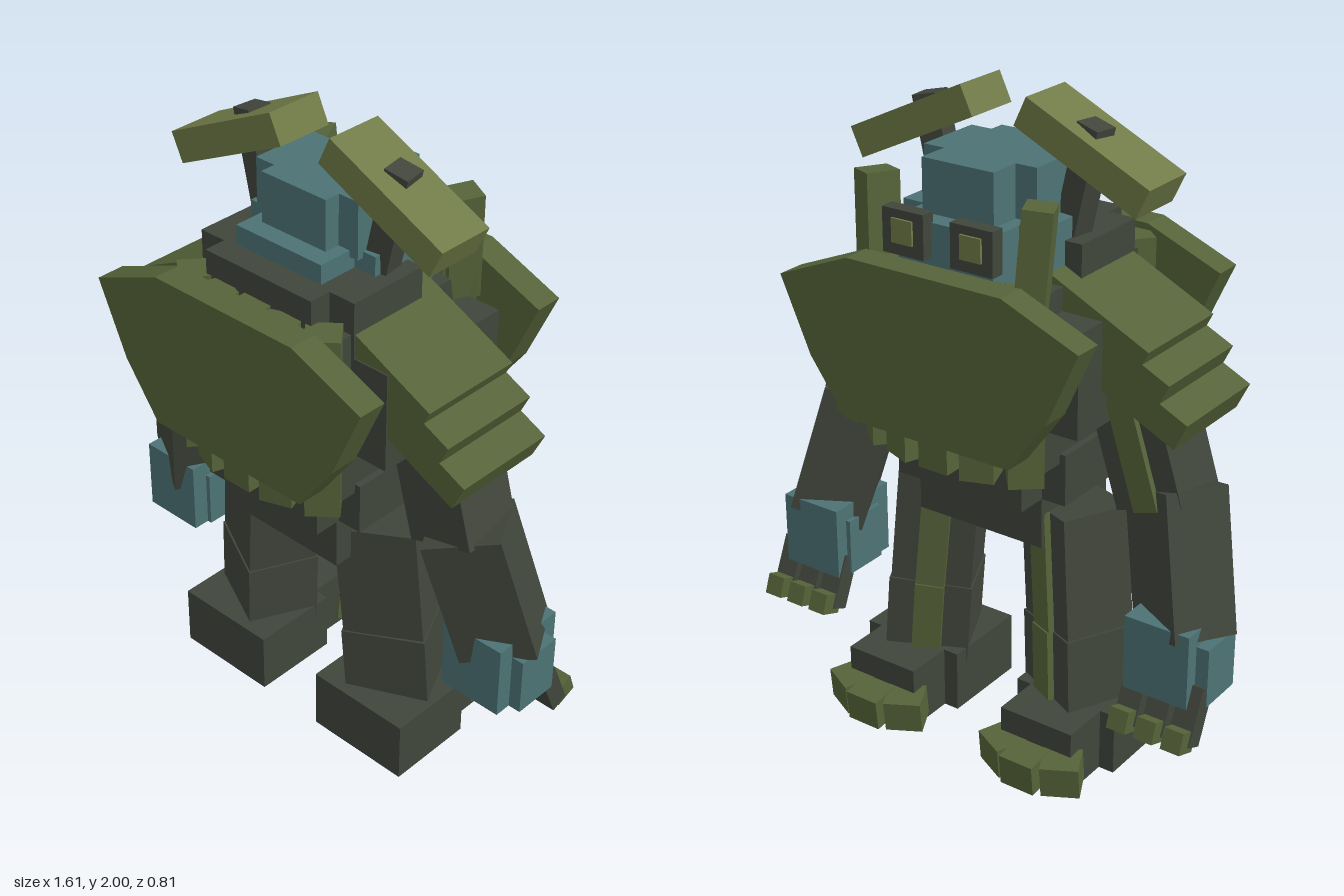
import * as THREE from 'three';

const mat = (name, color) => {
  const m = new THREE.MeshStandardMaterial({ color });
  m.name = name;
  return m;
};

export function createModel() {
  const root = new THREE.Group();
  root.name = 'blockGolem';
  const dark = mat('darkStone', 0x41463c);
  const moss = mat('mossArmor', 0x566339);
  const olive = mat('oliveHorn', 0x717b48);
  const teal = mat('tealSkin', 0x4d7375);

  const add = (name, geometry, material) => {
    const m = new THREE.Mesh(geometry, material);
    m.name = name;
    root.add(m);
    return m;
  };
  // Box given by its min and max on each axis
  const span = (name, material, [x0, x1], [y0, y1], [z0, z1]) => {
    const m = add(name, new THREE.BoxGeometry(Math.abs(x1 - x0), y1 - y0, z1 - z0), material);
    m.position.set((x0 + x1) / 2, (y0 + y1) / 2, (z0 + z1) / 2);
    return m;
  };
  // Box given by size, centre and rotation
  const box = (name, material, size, pos, rot = [0, 0, 0]) => {
    const m = add(name, new THREE.BoxGeometry(...size), material);
    m.position.set(...pos);
    m.rotation.set(...rot);
    return m;
  };
  // Square bar running from a to b, turned by yaw around its own length
  const bar = (name, material, a, b, w, d, yaw = 0, offset = [0, 0]) => {
    const A = new THREE.Vector3(...a), B = new THREE.Vector3(...b);
    const dir = B.clone().sub(A);
    const geo = new THREE.BoxGeometry(w, dir.length(), d).translate(offset[0], 0, offset[1]);
    const m = add(name, geo, material);
    m.position.copy(A).add(B).multiplyScalar(0.5);
    const up = dir.normalize().negate();
    m.quaternion.setFromUnitVectors(new THREE.Vector3(0, 1, 0), up)
      .multiply(new THREE.Quaternion().setFromAxisAngle(new THREE.Vector3(0, 1, 0), yaw));
    return m;
  };

  // Torso
  span('chest', dark, [-0.41, 0.41], [1.14, 1.45], [-0.26, 0.2]);
  span('torsoCore', dark, [-0.28, 0.28], [0.99, 1.52], [-0.25, 0.25]);
  span('collar', dark, [-0.29, 0.29], [1.45, 1.62], [-0.07, 0.2]);
  span('collarNape', dark, [-0.2, 0.2], [1.45, 1.62], [0, 0.27]);
  span('waistWide', dark, [-0.3, 0.3], [0.86, 1.02], [-0.15, 0.18]);
  span('waistDeep', dark, [-0.22, 0.22], [0.86, 1.02], [-0.25, 0.27]);
  span('pelvis', dark, [-0.22, 0.22], [0.7, 0.88], [-0.15, 0.19]);

  // Head
  span('headBaseLong', teal, [-0.16, 0.16], [1.45, 1.68], [-0.3, 0.19]);
  span('headBaseWide', teal, [-0.235, 0.235], [1.5, 1.68], [-0.18, 0.06]);
  span('crownLong', teal, [-0.12, 0.12], [1.66, 1.835], [-0.24, 0.13]);
  span('crownWide', teal, [-0.19, 0.19], [1.66, 1.835], [-0.14, 0.08]);

  // Chest and back armour with ribs behind
  const outline = [[0.26, 1.565], [0.505, 1.465], [0.405, 1.24], [0.285, 1.075]];
  const points = [...outline, ...outline.slice().reverse().map(([x, y]) => [-x, y])];
  const plate = new THREE.ExtrudeGeometry(
    new THREE.Shape(points.map(p => new THREE.Vector2(...p))), { depth: 0.09, bevelEnabled: false });
  for (const f of [1, -1]) {
    add(f > 0 ? 'backPlate' : 'facePlate', plate, moss).position.z = f > 0 ? 0.315 : -0.405;
    for (const [x, z, yaw] of [[0, 0.32, 0], [0.125, 0.31, 0.35], [-0.125, 0.31, -0.35],
      [0.245, 0.27, 0.7], [-0.245, 0.27, -0.7]])
      box('armorRib', moss, [0.1, 0.57, 0.1], [x, 1.26, f * z], [0, f * yaw, 0]);
  }

  for (const s of [1, -1]) {
    // Eyes
    span('eyeSocket', dark, [s * 0.045, s * 0.185], [1.58, 1.71], [-0.335, -0.29]);
    span('eye', olive, [s * 0.08, s * 0.15], [1.615, 1.685], [-0.342, -0.33]);

    // Cheek pillars and horns
    box('cheekPillar', moss, [0.085, 0.33, 0.1], [s * 0.265, 1.61, -0.255], [0.04, s * -0.45, s * -0.06]);
    bar('hornPost', dark, [s * 0.28, 1.935, 0.005], [s * 0.2, 1.58, 0.005], 0.075, 0.075, s * 0.15);
    box('horn', olive, [0.435, 0.095, 0.185], [s * 0.286, 1.865, 0.013], [0, 0, s * -0.442]);

    // Stepped shoulder plates, placed by their outer top corner
    for (const [x, y, len, t] of [[0.555, 1.395, 0.36, 0.1], [0.622, 1.315, 0.32, 0.09], [0.682, 1.215, 0.3, 0.09]]) {
      const a = 0.45, cx = x - Math.cos(a) * len / 2 - Math.sin(a) * t / 2;
      const cy = y + Math.sin(a) * len / 2 - Math.cos(a) * t / 2;
      box('shoulderPlate', moss, [len, t, 0.34], [s * cx, cy, 0.025], [0, 0, s * -a]);
    }

    // Arms
    const shoulder = [s * 0.41, 1.33, 0], elbow = [s * 0.54, 0.9, 0.01];
    bar('upperArm', dark, shoulder, elbow, 0.22, 0.2);
    bar('armStrip', moss, shoulder, elbow, 0.08, 0.03, 0, [0, -0.105]);
    bar('forearm', dark, [s * 0.56, 0.94, 0.02], [s * 0.655, 0.53, -0.06], 0.235, 0.2, s * 0.5);

    // Hand with three clawed fingers
    span('palm', teal, [s * 0.53, s * 0.74], [0.365, 0.6], [-0.185, 0.065]);
    span('palmSides', teal, [s * 0.515, s * 0.78], [0.365, 0.55], [-0.14, 0.01]);
    for (const x of [0.56, 0.65, 0.74]) {
      bar('finger', dark, [s * x, 0.42, -0.125], [s * x, 0.26, -0.195], 0.072, 0.06);
      box('claw', moss, [0.062, 0.065, 0.075], [s * x, 0.288, -0.222], [0.35, 0, 0]);
    }

    // Legs
    const hip = [s * 0.235, 0.8, 0], knee = [s * 0.265, 0.42, -0.015], ankle = [s * 0.28, 0.16, -0.025];
    bar('thigh', dark, hip, knee, 0.25, 0.22, s * 0.45);
    bar('shin', dark, knee, ankle, 0.26, 0.23, s * 0.45);
    bar('thighStrip', moss, hip, knee, 0.09, 0.03, s * 0.45, [0, -0.115]);
    bar('shinStrip', moss, knee, ankle, 0.09, 0.03, s * 0.45, [0, -0.12]);

    // Feet with three toes
    span('heel', dark, [s * 0.115, s * 0.465], [0, 0.2], [-0.12, 0.17]);
    span('instep', dark, [s * 0.165, s * 0.415], [0, 0.2], [-0.275, -0.1]);
    for (const [dx, z, yaw] of [[0, -0.325, 0], [0.105, -0.29, -0.45], [-0.105, -0.29, 0.45]])
      box('toe', moss, [0.115, 0.1, 0.1], [s * 0.29 + dx, 0.07, z], [-0.1, yaw, 0]);
  }
  return root;
}
